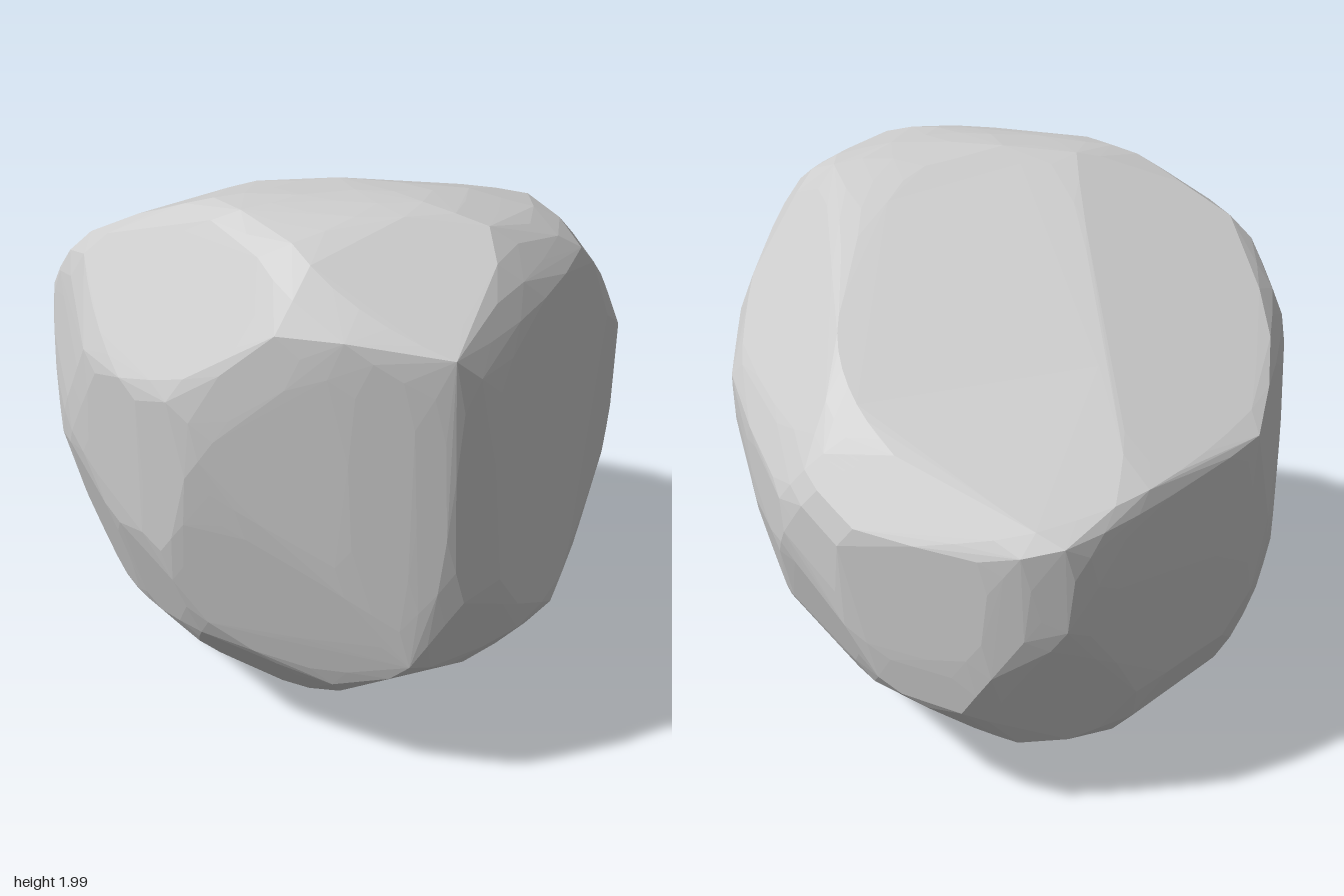
import * as THREE from 'three';
import { ConvexGeometry } from 'three/addons/geometries/ConvexGeometry.js';

const V = (x, y, z) => new THREE.Vector3(x, y, z);

// Convex outlines around the stone's middle (u, v pairs), each along two axes
const frontOutline = [-1, -.08, -.96, -.4, -.8, -.78, -.6, -.93, -.4, -.98, -.15, -1, -.05, -.97, .83, -.6, .88, -.52,
  .93, -.38, .98, -.1, 1, .43, .92, .77, .88, .83, .73, .92, .5, .98, .28, .99, -.1, .97, -.25, .95, -.67, .78, -.87, .55, -.94, .42];
const sideOutline = [.45, .99, .3, .98, .15, .94, 0, .86, -.52, .55, -.7, .4, -.8, .3, -.96, .08, -.97, -.35, -.95, -.58,
  -.85, -.7, -.7, -.81, -.5, -.88, -.15, -.96, .1, -1, .25, -.99, .4, -.94, .65, -.82, .87, -.57, .9, -.4, .95, 0,
  .97, .27, .93, .7, .87, .8, .77, .9, .6, .96];
const topOutline = [-.15, .97, -.35, .9, -.6, .76, -.72, .66, -.83, .5, -.93, .27, -.97, .1, -1, -.14, -.95, -.27,
  -.6, -.8, -.53, -.88, -.4, -.94, -.25, -.97, .2, -.975, .47, -.86, .78, -.52, .93, -.33, .98, -.23, 1, -.07,
  .92, .35, .82, .67, .72, .81, .66, .87, .55, .9, .35, .93];
const diagonalA = [-.97, .09, -.95, .43, -.87, .67, -.52, .75, -.12, .78, .53, .62, .65, .55, .81, .35, .93, .13,
  .93, -.04, .73, -.67, .06, -.91, -.15, -.95, -.32, -.93, -.59, -.75, -.75, -.57];
const diagonalB = [-.31, 1.17, -.04, 1.19, .26, 1.12, .53, .99, .85, .75, .91, .49, .97, .11, .88, -.34, .71, -.76,
  .63, -.88, .46, -.99, .29, -1.03, .13, -1.03, -.15, -1.02, -.31, -.93, -.64, -.72, -.83, -.45, -.91, -.11,
  -.94, .31, -.85, .61, -.65, .96, -.57, 1.05];
const diagonalC = [-.83, .88, -.73, .93, -.51, .96, .04, .79, .74, .48, .89, .31, .94, .15, .89, -.51, .83, -.65,
  .74, -.75, .57, -.86, .11, -1.01, -.25, -.95, -.56, -.83, -.94, -.53, -1.06, -.15, -1.06, .16, -1.03, .53, -.93, .76];

// Large broken faces: normal and distance from the middle
const cuts = [
  [-.45, 1, -.47, .84],    // left half of the long back slope
  [-.2, 1, -.6, .765],     // right half of the long back slope
  [.5, .6, -.6, .84],      // right shoulder of the slope
  [.95, .03, .3, .96],     // flat right face
  [.41, -.91, 0, .89],     // slanted underside
  [-.35, .55, .76, 1.05],  // upper front left
  [.3, 1, .7, 1.475],      // upper front right
  [-.5, -.3, .8, .93],     // lower front left
  [-.2, -.75, 1, 1.25],    // lower front
  [.55, -.3, -.78, .95],   // lower back right
  [-.55, -.35, -.75, 1.02], // lower back left
];

// Each edge of an outline becomes a plane running along the third direction
function outlinePlanes(pts, u, v, margin = 0) {
  const planes = [];
  for (let i = 0; i < pts.length; i += 2) {
    const j = (i + 2) % pts.length;
    const n = new THREE.Vector2(pts[j + 1] - pts[i + 1], pts[i] - pts[j]).normalize();
    let d = n.x * pts[i] + n.y * pts[i + 1];
    if (d < 0) { n.negate(); d = -d; }
    planes.push({ n: u.clone().multiplyScalar(n.x).addScaledVector(v, n.y), d: d + margin });
  }
  return planes;
}

// Right and up axes of a slanted direction
function slantedAxes(azimuth, elevation) {
  const a = THREE.MathUtils.degToRad(azimuth), e = THREE.MathUtils.degToRad(elevation);
  return [V(Math.cos(a), 0, -Math.sin(a)),
    V(-Math.sin(e) * Math.sin(a), Math.cos(e), -Math.sin(e) * Math.cos(a))];
}

export function createModel() {
  const X = V(1, 0, 0), Y = V(0, 1, 0), Z = V(0, 0, 1);
  const planes = [
    ...outlinePlanes(frontOutline, X, Y),
    ...outlinePlanes(sideOutline, Z, Y),
    ...outlinePlanes(topOutline, X, Z),
    ...outlinePlanes(diagonalA, ...slantedAxes(35, 25), .02),
    ...outlinePlanes(diagonalB, ...slantedAxes(215, 25), .015),
    ...outlinePlanes(diagonalC, ...slantedAxes(145, -14), .02),
    ...cuts.map(([x, y, z, d]) => {
      const n = V(x, y, z), len = n.length();
      return { n: n.divideScalar(len), d: d / len };
    }),
  ];

  // Evenly spread rays stop at the nearest plane; their hull is the faceted stone
  const points = [], count = 1600;
  for (let i = 0; i < count; i++) {
    const y = 1 - (2 * i + 1) / count, r = Math.sqrt(1 - y * y), t = i * 2.399963;
    const dir = V(r * Math.cos(t), y, r * Math.sin(t));
    let reach = 2;
    for (const { n, d } of planes) {
      const c = n.dot(dir);
      if (c > 1e-4) reach = Math.min(reach, d / c);
    }
    points.push(dir.multiplyScalar(reach));
  }
  const geometry = new ConvexGeometry(points);
  geometry.computeBoundingBox();
  geometry.translate(0, -geometry.boundingBox.min.y, 0);

  const stone = new THREE.Mesh(geometry, new THREE.MeshStandardMaterial({ color: 0xcccccc, flatShading: true }));
  stone.name = 'boulder';
  const group = new THREE.Group();
  group.name = 'rock';
  group.add(stone);
  return group;
}
